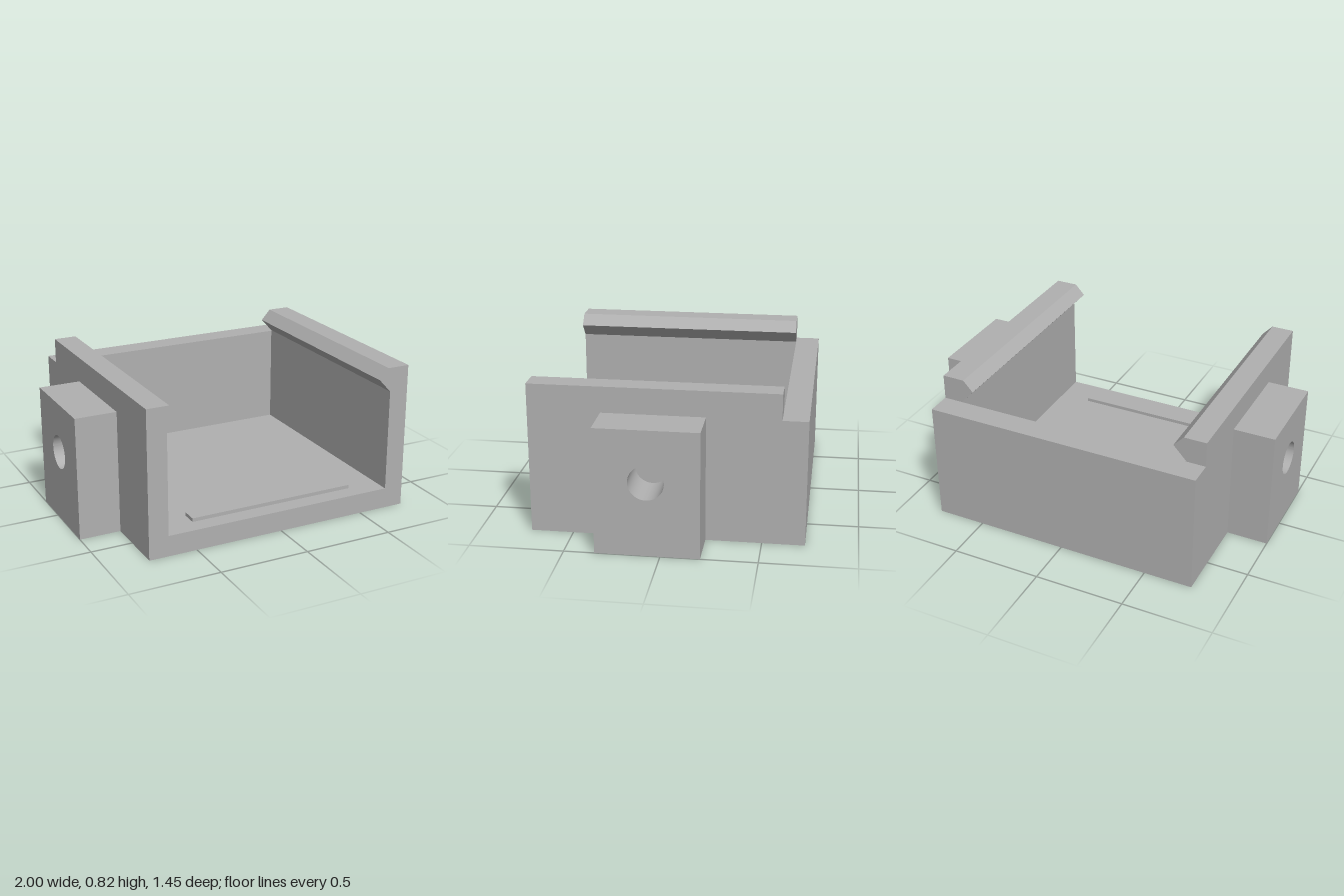
import * as THREE from 'three';
import { toCreasedNormals } from 'three/addons/utils/BufferGeometryUtils.js';

export function createModel() {
  const model = new THREE.Group();
  const grey = new THREE.MeshStandardMaterial({ color: 0xb0b0b0 });
  grey.name = 'grey plastic';

  const add = (name, geometry, x = 0, y = 0, z = 0) => {
    const mesh = new THREE.Mesh(geometry, grey);
    mesh.name = name;
    mesh.position.set(x, y, z);
    model.add(mesh);
    return mesh;
  };

  const front = 0.725, back = -0.725, wallFront = -0.59;
  const halfWidth = 0.77, rimHeight = 0.68;

  // Tray: floor and side walls with inward snap hooks, one U-shaped section
  const half = [
    [halfWidth, 0], [halfWidth, 0.82], [0.645, 0.82],
    [0.59, 0.76], [0.66, 0.685], [0.66, 0.115],
  ];
  const outline = [...half, ...half.map(([x, y]) => [-x, y]).reverse()];
  const section = new THREE.Shape(outline.map(([x, y]) => new THREE.Vector2(x, y)));
  add('trayWithSnapHooks', new THREE.ExtrudeGeometry(section, {
    depth: front - wallFront, bevelEnabled: false,
  }), 0, 0, wallFront);

  // Lower back wall
  add('backWall', new THREE.BoxGeometry(halfWidth * 2, rimHeight, wallFront - back),
    0, rimHeight / 2, (wallFront + back) / 2);

  // Low stop rib near the open front
  add('floorRib', new THREE.BoxGeometry(0.96, 0.02, 0.085), 0, 0.125, 0.588);

  // Side lugs with a blind round hole ending at the wall; shape x is -z
  const lug = new THREE.Shape([
    new THREE.Vector2(-0.34, 0), new THREE.Vector2(0.205, 0),
    new THREE.Vector2(0.205, rimHeight), new THREE.Vector2(-0.34, rimHeight),
  ]);
  const hole = new THREE.Path();
  hole.absarc(-0.07, 0.4, 0.093, 0, Math.PI * 2, true);
  lug.holes.push(hole);
  const lugGeometry = toCreasedNormals(new THREE.ExtrudeGeometry(lug, {
    depth: 1 - halfWidth, bevelEnabled: false, curveSegments: 40,
  }), 0.6);
  lugGeometry.rotateY(Math.PI / 2);
  add('leftLug', lugGeometry, halfWidth);
  add('rightLug', lugGeometry, -1);

  return model;
}
